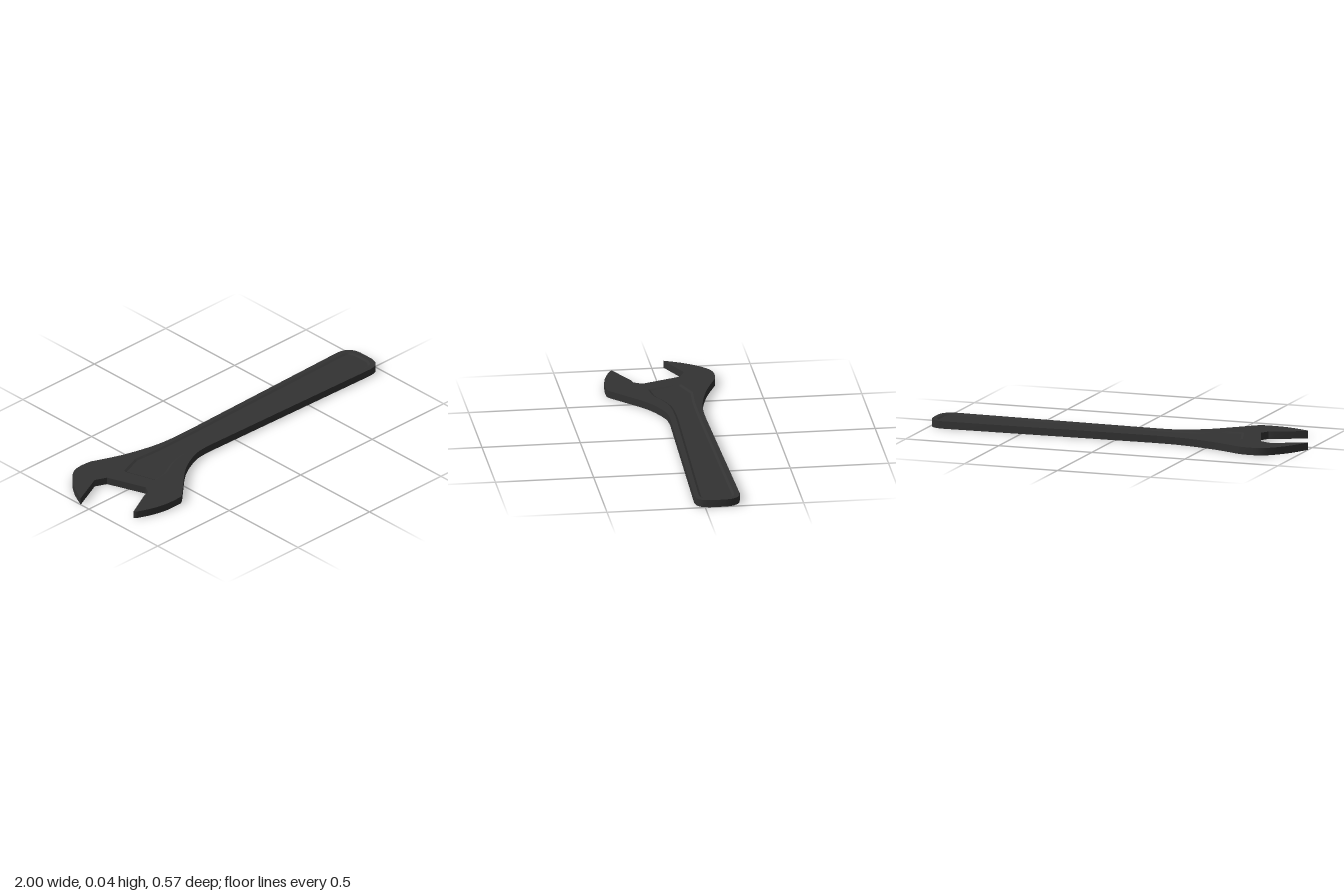
import * as THREE from 'three';
import { toCreasedNormals } from 'three/addons/utils/BufferGeometryUtils.js';

const T = 0.038;      // thickness
const DEPTH = 0.006;  // depth of the handle recess
const SLOPE = 0.012;  // width of the sloped recess wall

const v = (x, z) => new THREE.Vector2(x, z);

// Outline as a list of runs: two points make a line, more make a smooth curve.
function loop(runs) {
  const pts = [];
  for (const run of runs) {
    const p = run.map(([x, z]) => v(x, z));
    const out = p.length > 2 ? new THREE.SplineCurve(p).getPoints((p.length - 1) * 5) : p;
    for (const q of out) if (!pts.length || q.distanceTo(pts[pts.length - 1]) > 1e-4) pts.push(q);
  }
  if (pts[0].distanceTo(pts[pts.length - 1]) < 1e-4) pts.pop();
  if (THREE.ShapeUtils.isClockWise(pts)) pts.reverse();
  return pts;
}

// Move a counter-clockwise loop inwards.
function inset(pts, d) {
  const n = pts.length;
  return pts.map((p, i) => {
    const a = p.clone().sub(pts[(i + n - 1) % n]).normalize();
    const b = pts[(i + 1) % n].clone().sub(p).normalize();
    const m = v(-a.y - b.y, a.x + b.x).normalize();
    const k = Math.max(0.5, m.dot(v(-a.y, a.x)));
    return p.clone().addScaledVector(m, d / k);
  });
}

// Wall between two matching loops at heights ya and yb.
function wall(out, A, ya, B, yb) {
  const n = A.length;
  for (let i = 0; i < n; i++) {
    const j = (i + 1) % n;
    const a0 = [A[i].x, ya, A[i].y], a1 = [A[j].x, ya, A[j].y];
    const b0 = [B[i].x, yb, B[i].y], b1 = [B[j].x, yb, B[j].y];
    out.push(...a0, ...b0, ...a1, ...a1, ...b0, ...b1);
  }
}

// Flat face at height y, facing up or down, with optional hole.
function cap(out, contour, hole, y, up) {
  const holes = hole ? [hole.slice().reverse()] : [];
  const all = contour.concat(...holes);
  for (const f of THREE.ShapeUtils.triangulateShape(contour.slice(), holes)) {
    const order = up ? [f[0], f[2], f[1]] : f;
    for (const i of order) out.push(all[i].x, y, all[i].y);
  }
}

function mesh(name, positions, material, crease) {
  const g = new THREE.BufferGeometry();
  g.setAttribute('position', new THREE.Float32BufferAttribute(positions, 3));
  const m = new THREE.Mesh(toCreasedNormals(g, crease), material);
  m.name = name;
  return m;
}

export function createModel() {
  const group = new THREE.Group();
  group.name = 'wrench';
  const steel = new THREE.MeshStandardMaterial({ color: 0x333333 });

  // Open-jaw head, neck and handle
  const outline = loop([
    [[-1, -0.06], [-0.955, -0.15], [-0.9, -0.225], [-0.84, -0.275], [-0.78, -0.288], [-0.715, -0.283]],
    [[-0.715, -0.283], [-0.56, -0.22], [-0.4, -0.178], [-0.275, -0.163], [-0.13, -0.162]],
    [[-0.13, -0.162], [0.92, -0.186]],
    [[0.92, -0.186], [0.96, -0.176], [0.99, -0.145], [1, -0.105]],
    [[1, -0.105], [1, -0.025]],
    [[1, -0.025], [0.99, 0.013], [0.965, 0.039], [0.925, 0.047]],
    [[0.925, 0.047], [-0.18, 0.018]],
    [[-0.18, 0.018], [-0.265, 0.026], [-0.355, 0.062], [-0.435, 0.112], [-0.53, 0.197], [-0.61, 0.27], [-0.635, 0.281]],
    [[-0.635, 0.281], [-0.72, 0.28], [-0.8, 0.264], [-0.88, 0.233], [-0.897, 0.217]],
    // jaw opening
    [[-0.897, 0.217], [-0.745, 0.14]],
    [[-0.715, 0.135], [-0.69, 0.09]],
    [[-0.765, -0.112], [-0.826, -0.139]],
    [[-0.826, -0.139], [-1, -0.06]],
  ]);

  // Edge of the recess along the handle
  const rim = loop([
    [[-0.658, -0.085], [-0.655, -0.1], [-0.64, -0.108]],
    [[-0.64, -0.108], [-0.55, -0.141]],
    [[-0.55, -0.141], [-0.525, -0.145], [-0.38, -0.137], [-0.13, -0.138]],
    [[-0.13, -0.138], [0.92, -0.158]],
    [[0.92, -0.158], [0.955, -0.147], [0.975, -0.11]],
    [[0.975, -0.11], [0.975, -0.02]],
    [[0.975, -0.02], [0.955, 0.012], [0.92, 0.023]],
    [[0.92, 0.023], [-0.2, -0.012]],
    [[-0.2, -0.012], [-0.34, -0.006], [-0.43, 0.018], [-0.515, 0.059], [-0.607, 0.073]],
  ]);
  const floor = inset(rim, SLOPE);

  const body = [];
  wall(body, outline, 0, outline, T);
  cap(body, outline, rim, T, true);
  cap(body, outline, rim, 0, false);
  group.add(mesh('body', body, steel, 0.5));

  // Recessed panels on both faces
  const top = [], bottom = [];
  wall(top, rim, T, floor, T - DEPTH);
  cap(top, floor, null, T - DEPTH, true);
  wall(bottom, floor, DEPTH, rim, 0);
  cap(bottom, floor, null, DEPTH, false);
  group.add(mesh('topRecess', top, steel, 0.4), mesh('bottomRecess', bottom, steel, 0.4));

  return group;
}
